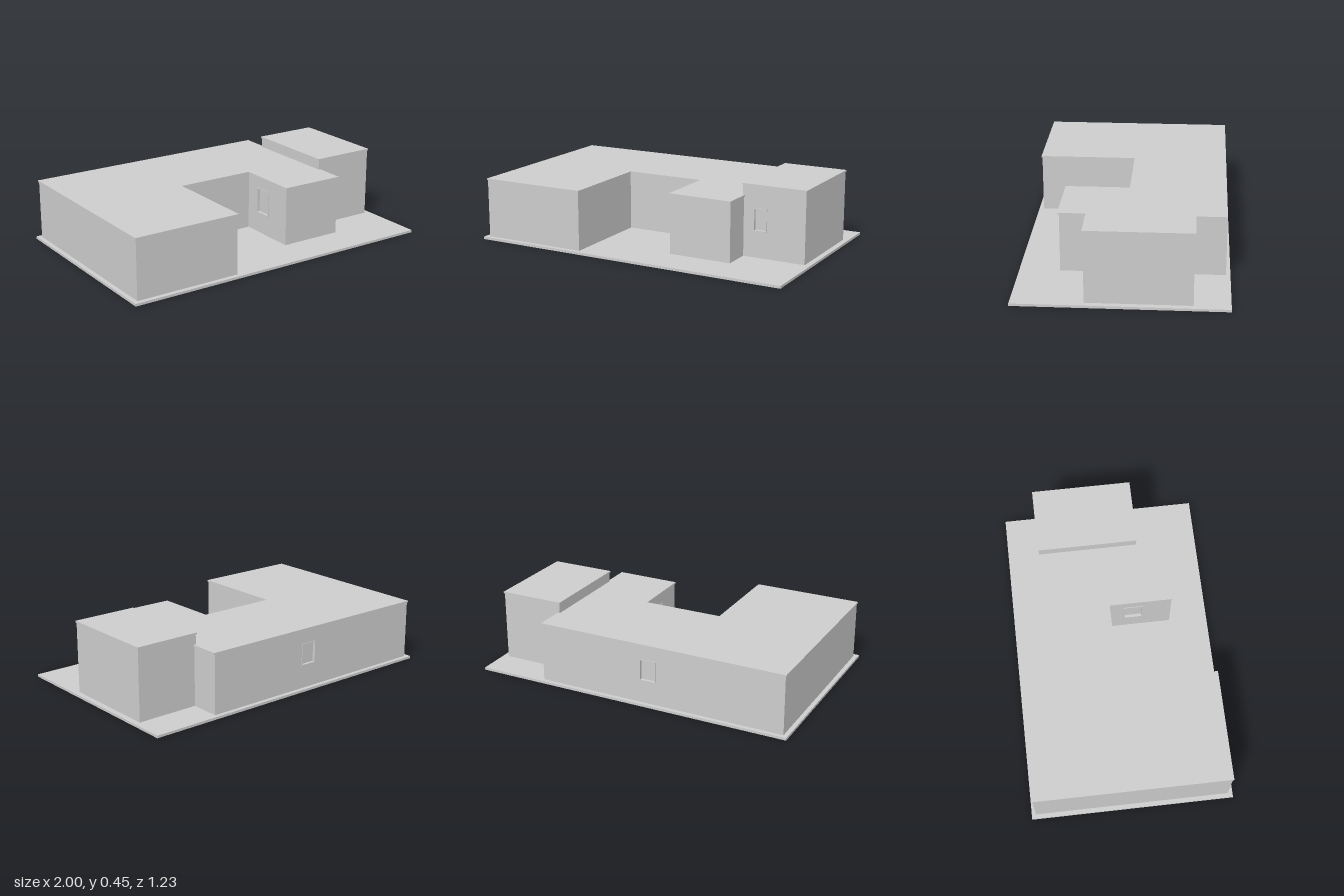
import * as THREE from 'three';

const BASE = 0.015;   // top of the ground slab
const WALL = 0.02;    // wall thickness
const LIP = 0.005;    // roof overhang
const ROOF = 0.01;    // roof thickness

const plaster = new THREE.MeshStandardMaterial({ color: 0xcccccc });
plaster.name = 'light grey';

function mesh(name, geometry) {
  const m = new THREE.Mesh(geometry, plaster);
  m.name = name;
  return m;
}

function rectangle(Type, u0, v0, u1, v1) {
  return new Type([[u0, v0], [u1, v0], [u1, v1], [u0, v1]].map(p => new THREE.Vector2(...p)));
}

// Slim frame around an opening, with a recessed pane
function makeWindow(w) {
  const group = new THREE.Group();
  group.name = 'window';
  const b = 0.008;
  const outline = rectangle(THREE.Shape, w.u0, w.v0, w.u1, w.v1);
  outline.holes.push(rectangle(THREE.Path, w.u0 + b, w.v0 + b, w.u1 - b, w.v1 - b));
  const frame = mesh('windowFrame', new THREE.ExtrudeGeometry(outline, { depth: WALL + 0.004, bevelEnabled: false }));
  frame.position.z = -WALL;
  const pane = mesh('windowPane', new THREE.BoxGeometry(w.u1 - w.u0 - b, w.v1 - w.v0 - b, 0.004));
  pane.position.set((w.u0 + w.u1) / 2, (w.v0 + w.v1) / 2, -WALL + 0.004);
  group.add(frame, pane);
  return group;
}

// Wall from a to b; its outer face looks to the right of the path
function makeWall(a, b, height, win) {
  const dx = b[0] - a[0], dz = b[1] - a[1];
  const group = new THREE.Group();
  group.name = 'wall';
  const face = rectangle(THREE.Shape, 0, BASE, Math.hypot(dx, dz), height);
  if (win) {
    face.holes.push(rectangle(THREE.Path, win.u0, win.v0, win.u1, win.v1));
    group.add(makeWindow(win));
  }
  const panel = mesh('wallPanel', new THREE.ExtrudeGeometry(face, { depth: WALL, bevelEnabled: false }));
  panel.position.z = -WALL;
  group.add(panel);
  group.position.set(a[0], 0, a[1]);
  group.rotation.y = Math.atan2(-dz, dx);
  return group;
}

// Flat roof: the footprint pushed outwards by the overhang
function makeRoof(points, top) {
  const n = points.length;
  const normal = i => {
    const a = points[(i + n) % n], b = points[(i + 1) % n];
    return [-Math.sign(b[1] - a[1]), Math.sign(b[0] - a[0])];
  };
  const outline = points.map((p, i) => {
    const m = normal(i - 1), k = normal(i);
    return new THREE.Vector2(p[0] + LIP * (m[0] + k[0]), -(p[1] + LIP * (m[1] + k[1])));
  });
  const geometry = new THREE.ExtrudeGeometry(new THREE.Shape(outline), { depth: ROOF, bevelEnabled: false });
  geometry.rotateX(-Math.PI / 2);
  geometry.translate(0, top - ROOF, 0);
  return mesh('roof', geometry);
}

function makeBlock(name, points, top, windows) {
  const group = new THREE.Group();
  group.name = name;
  points.forEach((p, i) => {
    group.add(makeWall(p, points[(i + 1) % points.length], top - ROOF, windows[i]));
  });
  group.add(makeRoof(points, top));
  return group;
}

export function createModel() {
  const model = new THREE.Group();
  model.name = 'house';

  // Ground slab
  const slab = mesh('groundSlab', new THREE.BoxGeometry(2, BASE, 1.226));
  slab.position.y = BASE / 2;
  model.add(slab);

  // U-shaped main house around a courtyard
  model.add(makeBlock('mainHouse', [
    [-0.973, 0.584], [-0.314, 0.584], [-0.314, -0.013], [0.187, -0.013],
    [0.187, 0.374], [0.578, 0.374], [0.582, -0.587], [-0.973, -0.587],
  ], 0.382, {
    3: { u0: 0.09, u1: 0.213, v0: 0.14, v1: 0.305 },
    6: { u0: 0.655, u1: 0.765, v0: 0.152, v1: 0.29 },
  }));

  // Taller block at the side
  model.add(makeBlock('tallBlock', [
    [0.571, 0.2], [0.966, 0.2], [0.966, -0.405], [0.571, -0.405],
  ], 0.452, {
    0: { u0: 0.069, u1: 0.156, v0: 0.172, v1: 0.312 },
  }));

  return model;
}
